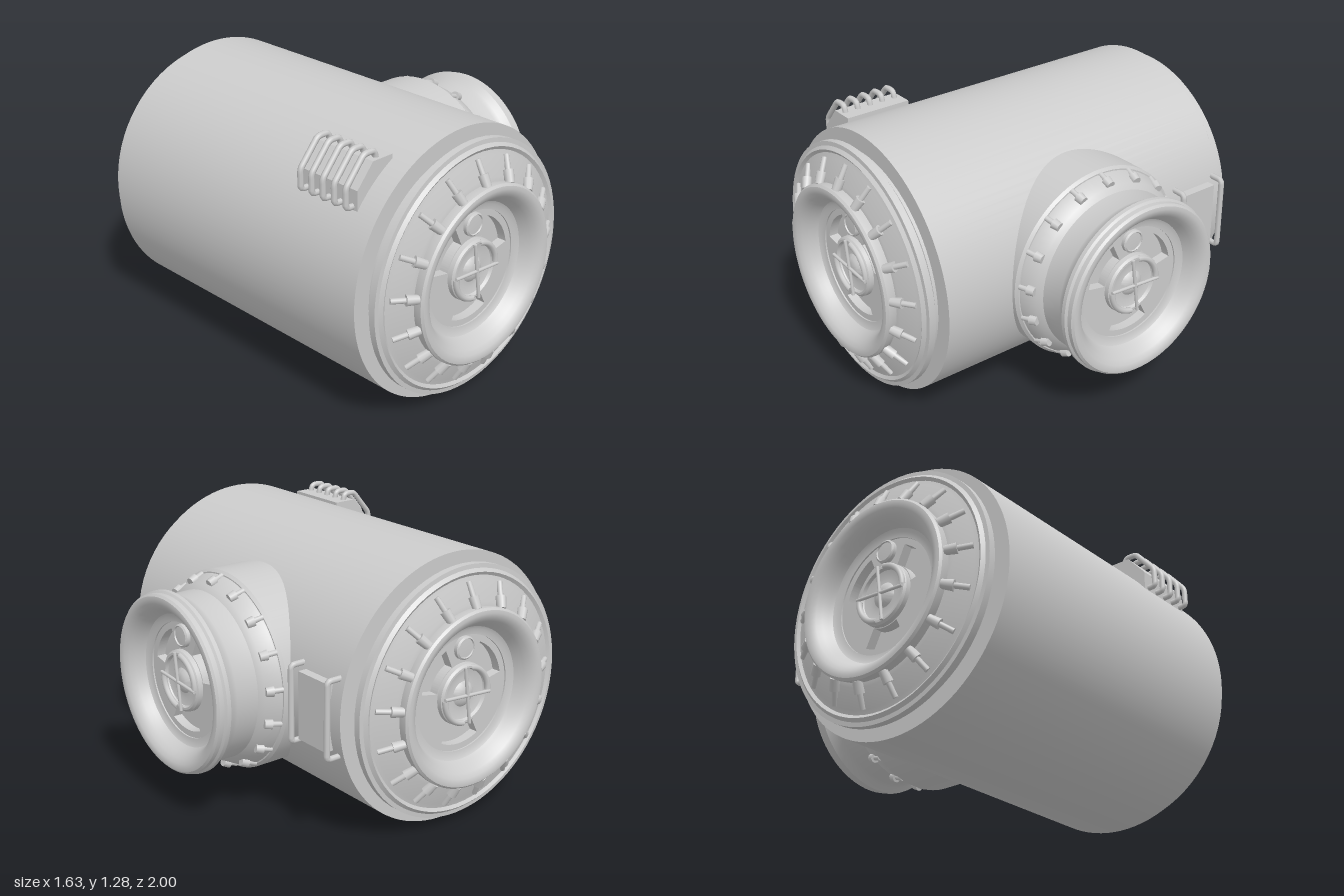
import * as THREE from 'three';
import { toCreasedNormals } from 'three/addons/utils/BufferGeometryUtils.js';

const mat = new THREE.MeshStandardMaterial({ color: 0xcccccc });
const V = (x, y, z) => new THREE.Vector3(x, y, z);
const CX = -0.178, CY = 0.643;

function add(parent, name, geo) {
  const m = new THREE.Mesh(geo, mat);
  m.name = name;
  parent.add(m);
  return m;
}

// Turned part about the z axis; points are [radius, z], outside to inside
function turned(points, seg = 72) {
  const g = new THREE.LatheGeometry(points.map(p => new THREE.Vector2(...p)), seg);
  return toCreasedNormals(g.rotateX(Math.PI / 2), 0.5);
}

// Round bar between two points
function rod(parent, name, a, b, r0, r1 = r0) {
  const d = b.clone().sub(a);
  const m = add(parent, name, new THREE.CylinderGeometry(r1, r0, d.length(), 10));
  m.position.copy(a).addScaledVector(d, 0.5);
  m.quaternion.setFromUnitVectors(V(0, 1, 0), d.normalize());
  return m;
}

// Bent bar through corner points with slightly rounded corners
function bentBar(parent, name, pts, r) {
  const path = new THREE.CurvePath();
  let prev = pts[0];
  for (let i = 1; i < pts.length - 1; i++) {
    const p = pts[i];
    const a = p.clone().add(pts[i - 1].clone().sub(p).setLength(0.018));
    const b = p.clone().add(pts[i + 1].clone().sub(p).setLength(0.018));
    path.add(new THREE.LineCurve3(prev, a));
    path.add(new THREE.QuadraticBezierCurve3(a, p, b));
    prev = b;
  }
  path.add(new THREE.LineCurve3(prev, pts[pts.length - 1]));
  return add(parent, name, new THREE.TubeGeometry(path, 48, r, 8));
}

// Ring of stepped bolts running along the slope from [r, z] to [r, z]
function boltRing(parent, from, to) {
  for (let i = 0; i < 17; i++) {
    const bolt = new THREE.Group();
    bolt.name = 'bolt';
    const a = V(0, from[0], from[1]), b = V(0, to[0], to[1]);
    const mid = a.clone().lerp(b, 0.45);
    rod(bolt, 'boltHead', a, mid, 0.021, 0.025);
    rod(bolt, 'boltShank', mid, b, 0.013);
    bolt.rotation.z = i * Math.PI * 2 / 17;
    parent.add(bolt);
  }
}

// Port facing +z with its rim at z = 0
function port(name, outerProfile, boltFrom, boltTo) {
  const g = new THREE.Group();
  g.name = name;

  // Collar, rounded lip and dished throat
  add(g, 'rimAndDish', turned([...outerProfile,
    [0.42, -0.012], [0.41, -0.002], [0.395, 0], [0.375, -0.006], [0.355, -0.022], [0.338, -0.045],
    [0.325, -0.07], [0.315, -0.088], [0.3, -0.097], [0.275, -0.1], [0.275, -0.16], [0, -0.16]]));
  boltRing(g, boltFrom, boltTo);

  // Plate with three curved windows
  const plate = new THREE.Shape().absarc(0, 0, 0.277, 0, Math.PI * 2);
  for (const deg of [38, 142, 270]) {
    const a0 = THREE.MathUtils.degToRad(deg - 27), a1 = THREE.MathUtils.degToRad(deg + 27);
    const hole = new THREE.Path();
    hole.absarc(0, 0, 0.245, a0, a1, false);
    hole.absarc(0, 0, 0.15, a1, a0, true);
    hole.closePath();
    plate.holes.push(hole);
  }
  const plateGeo = new THREE.ExtrudeGeometry(plate, { depth: 0.045, bevelEnabled: false, curveSegments: 32 });
  add(g, 'ventPlate', toCreasedNormals(plateGeo, 0.5)).position.z = -0.152;

  // Round button above the hub
  add(g, 'button', turned([[0.055, -0.13], [0.055, -0.09], [0.047, -0.084], [0.044, -0.09], [0, -0.088]], 32))
    .position.y = 0.218;

  // Hub bowl, clasps and crossbars
  add(g, 'hub', turned([[0.148, -0.13], [0.145, -0.085], [0.135, -0.076], [0.125, -0.076], [0.118, -0.09],
    [0.085, -0.098], [0.06, -0.096], [0.045, -0.082], [0.025, -0.076], [0, -0.075]], 48));
  for (let i = 0; i < 2; i++) {
    const clasp = add(g, 'hubClasp', new THREE.TorusGeometry(0.13, 0.014, 8, 24, 1.45));
    clasp.position.z = -0.073;
    clasp.rotation.z = i * Math.PI;
  }
  for (const deg of [-4, 98]) {
    const t = THREE.MathUtils.degToRad(deg), x = Math.cos(t) * 0.138, y = Math.sin(t) * 0.138;
    rod(g, 'crossbar', V(-x, -y, -0.066), V(x, y, -0.066), 0.008);
  }
  return g;
}

export function createModel() {
  const model = new THREE.Group();
  model.name = 'pipeJunction';

  // Main drum and side branch
  const drum = add(model, 'mainDrum', turned([[0, -0.82], [0.64, -0.82], [0.64, 0.82], [0, 0.82]], 96));
  drum.position.set(CX, CY, 0);
  const branch = add(model, 'branchCollar',
    turned([[0.477, 0.1], [0.477, 0.478], [0.465, 0.492], [0.4, 0.492]], 96));
  branch.rotation.y = Math.PI / 2;
  branch.position.y = CY;

  // Ports at both ends of the drum
  const endProfile = [[0.555, -0.2], [0.555, -0.165], [0.595, -0.14], [0.595, -0.107], [0.575, -0.105],
    [0.56, -0.09], [0.545, -0.1], [0.525, -0.094], [0.435, -0.058], [0.415, -0.055], [0.42, -0.03]];
  for (const s of [1, -1]) {
    const end = port(s > 0 ? 'frontPort' : 'backPort', endProfile, [0.415, -0.03], [0.525, -0.09]);
    end.position.set(CX, CY, s);
    end.rotation.y = s > 0 ? 0 : Math.PI;
    model.add(end);
  }

  // Port on the side branch
  const sideProfile = [[0.46, -0.33], [0.458, -0.315], [0.425, -0.25], [0.4, -0.23], [0.398, -0.12],
    [0.408, -0.095], [0.43, -0.065], [0.43, -0.045], [0.42, -0.036]];
  const side = port('sidePort', sideProfile, [0.432, -0.25], [0.46, -0.325]);
  side.position.set(0.815, CY, 0);
  side.rotation.y = Math.PI / 2;
  model.add(side);

  // Upper box with five bent guard bars
  const boxShape = new THREE.Shape([[-0.69, 0.98], [-0.485, 0.98], [-0.485, 1.225], [-0.6, 1.225], [-0.69, 1.12]]
    .map(p => new THREE.Vector2(...p)));
  add(model, 'upperBox', new THREE.ExtrudeGeometry(boxShape, { depth: 0.335, bevelEnabled: false }))
    .position.z = 0.375;
  for (let i = 0; i < 5; i++) {
    const z = 0.408 + i * 0.068;
    bentBar(model, 'guardBar', [V(-0.66, 1.042, z), V(-0.727, 1.042, z), V(-0.727, 1.135, z),
      V(-0.625, 1.255, z), V(-0.565, 1.255, z), V(-0.55, 1.2, z)], 0.014);
  }

  // Side box with a guard bar on each edge
  add(model, 'sideBox', new THREE.BoxGeometry(0.12, 0.32, 0.19)).position.set(0.425, CY, -0.655);
  for (const z of [-0.53, -0.782]) {
    bentBar(model, 'sideBar', [V(0.4, 0.465, z), V(0.502, 0.465, z), V(0.502, 0.825, z), V(0.4, 0.825, z)], 0.014);
  }
  return model;
}
